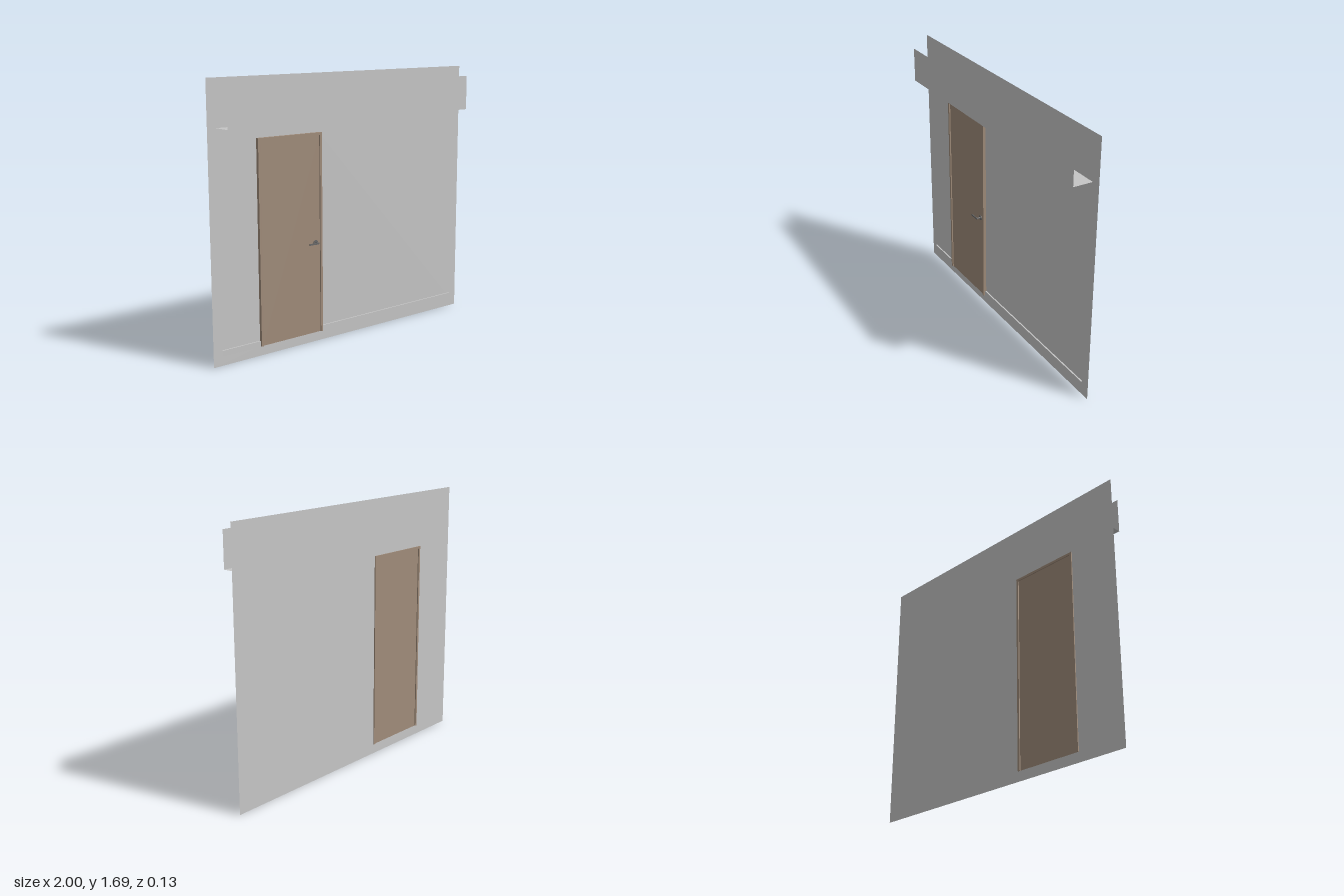
import * as THREE from 'three';

const WALL_Z = -0.06, FLOOR_Y = 0.063;

export function createModel() {
  const model = new THREE.Group();
  model.name = 'wallWithDoor';

  const plaster = new THREE.MeshStandardMaterial({ color: 0xc6c6c6, side: THREE.DoubleSide });
  plaster.name = 'grey plaster';
  const wood = new THREE.MeshStandardMaterial({ color: 0xa08c7a });
  wood.name = 'brown wood';
  const metal = new THREE.MeshStandardMaterial({ color: 0x686868 });
  metal.name = 'dark metal';

  const add = (name, geometry, material, x, y, z, parent = model) => {
    const mesh = new THREE.Mesh(geometry, material);
    mesh.name = name;
    mesh.position.set(x, y, z);
    parent.add(mesh);
  };
  // Box given by its lower and upper limits
  const box = (name, material, x0, x1, y0, y1, z0, z1, parent) =>
    add(name, new THREE.BoxGeometry(x1 - x0, y1 - y0, z1 - z0), material,
      (x0 + x1) / 2, (y0 + y1) / 2, (z0 + z1) / 2, parent);
  // Upright sheet facing the front, and level sheet reaching out from the wall
  const upright = (name, halfWidth, y0, y1, z) =>
    add(name, new THREE.PlaneGeometry(halfWidth * 2, y1 - y0), plaster, 0, (y0 + y1) / 2, z);
  const level = (name, halfWidth, y, z0, z1) =>
    add(name, new THREE.PlaneGeometry(halfWidth * 2, z1 - z0).rotateX(-Math.PI / 2),
      plaster, 0, y, (z0 + z1) / 2);

  // Wall sheet with a door opening
  const wall = new THREE.Shape();
  wall.moveTo(-1, 0).lineTo(1, 0).lineTo(1, 1.69).lineTo(-1, 1.69).closePath();
  const opening = new THREE.Path();
  opening.moveTo(-0.668, FLOOR_Y).lineTo(-0.668, 1.325).lineTo(-0.21, 1.325)
    .lineTo(-0.21, FLOOR_Y).closePath();
  wall.holes.push(opening);
  add('wall', new THREE.ShapeGeometry(wall), plaster, 0, 0, WALL_Z);

  // Ceiling box: front board and underside, open at the ends and top
  upright('ceilingBoxFront', 0.943, 1.407, 1.63, 0.066);
  level('ceilingBoxUnderside', 0.943, 1.407, WALL_Z, 0.066);

  // Thin skirting
  upright('skirtingFront', 0.943, FLOOR_Y - 0.003, 0.096, WALL_Z + 0.009);
  level('skirtingTop', 0.943, 0.096, WALL_Z, WALL_Z + 0.009);

  // Door frame, recessed leaf and handle
  const door = new THREE.Group();
  door.name = 'door';
  model.add(door);
  box('frameRightJamb', wood, -0.673, -0.658, FLOOR_Y, 1.33, -0.067, -0.04, door);
  box('frameLeftJamb', wood, -0.22, -0.205, FLOOR_Y, 1.33, -0.067, -0.04, door);
  box('frameHead', wood, -0.658, -0.22, 1.315, 1.33, -0.067, -0.04, door);
  box('doorLeaf', wood, -0.658, -0.22, FLOOR_Y, 1.315, -0.06, -0.048, door);

  const disc = (name, radius, z0, z1) =>
    add(name, new THREE.CylinderGeometry(radius, radius, z1 - z0, 20).rotateX(Math.PI / 2),
      metal, -0.254, 0.645, (z0 + z1) / 2, door);
  disc('handleRose', 0.016, -0.048, -0.044);
  disc('handleNeck', 0.005, -0.044, -0.018);
  box('handleLever', metal, -0.322, -0.248, 0.64, 0.65, -0.02, -0.015, door);

  return model;
}
